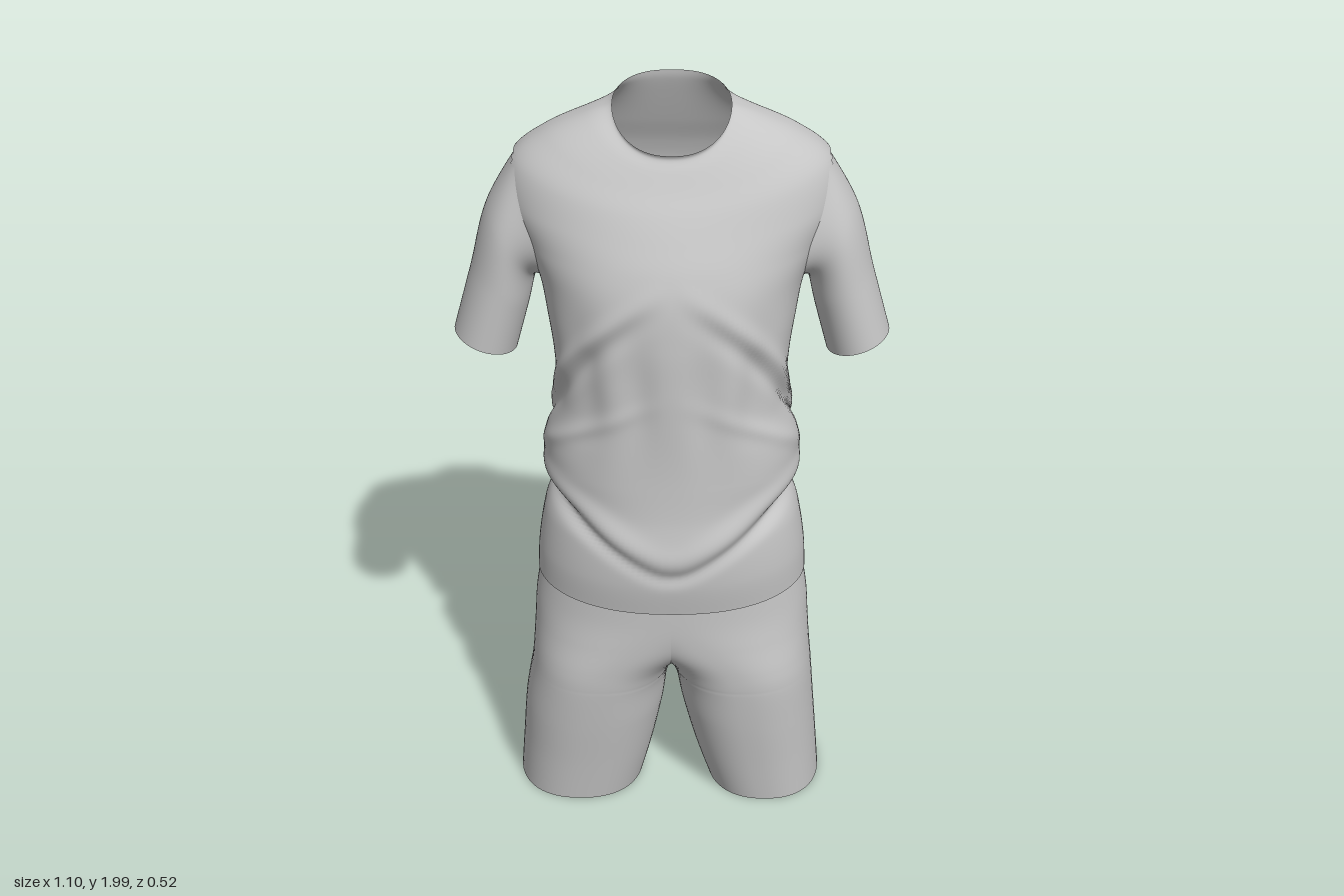
import * as THREE from 'three';

const fabric = new THREE.MeshStandardMaterial({ color: 0xc6c6c6, side: THREE.DoubleSide });
fabric.name = 'grey fabric';

// Smooth interpolation through rows of numbers, t from 0 to 1
function sample(rows, t) {
  const f = t * (rows.length - 1);
  const i = Math.min(Math.floor(f), rows.length - 2);
  const u = f - i;
  const at = (k) => rows[Math.max(0, Math.min(rows.length - 1, k))];
  return at(i).map((p1, k) => {
    const p0 = at(i - 1)[k], p2 = at(i + 1)[k], p3 = at(i + 2)[k];
    return p1 + 0.5 * u * (p2 - p0 + u * (2 * p0 - 5 * p1 + 4 * p2 - p3 + u * (3 * (p1 - p2) + p3 - p0)));
  });
}

// Skin over rings; point(t, v) gives [x, y, z]. side = -1 mirrors in x, hole(t, v) leaves cells out.
function loft(name, point, rows, segs, { closed = true, side = 1, hole = () => false } = {}) {
  const pos = [], index = [];
  const cols = closed ? segs : segs + 1;
  for (let r = 0; r <= rows; r++) {
    for (let c = 0; c < cols; c++) {
      const [x, y, z] = point(r / rows, c / segs);
      pos.push(x * side, y, z);
    }
  }
  for (let r = 0; r < rows; r++) {
    for (let c = 0; c < segs; c++) {
      if (hole((r + 0.5) / rows, (c + 0.5) / segs)) continue;
      const a = r * cols + c, b = r * cols + ((c + 1) % cols);
      const d = a + cols, e = b + cols;
      if (side > 0) index.push(a, d, b, b, d, e);
      else index.push(a, b, d, b, e, d);
    }
  }
  const g = new THREE.BufferGeometry();
  g.setAttribute('position', new THREE.Float32BufferAttribute(pos, 3));
  g.setIndex(index);
  g.computeVertexNormals();
  const mesh = new THREE.Mesh(g, fabric);
  mesh.name = name;
  return mesh;
}

const spow = (v, p) => Math.sign(v) * Math.pow(Math.abs(v), p);
const bump = (d, w) => Math.exp(-(d * d) / (w * w));

// Shirt rings, hem to collar: half width, front z, back z, side z, then y at front, side, back
const shirtRows = [
  [0.352, 0.232, -0.23, 0, 0.67, 0.695, 0.695],
  [0.347, 0.247, -0.235, 0, 0.76, 0.78, 0.78],
  [0.33, 0.25, -0.24, 0, 0.86, 0.88, 0.88],
  [0.305, 0.24, -0.225, 0, 0.95, 0.96, 0.95],
  [0.322, 0.236, -0.215, 0, 1.04, 1.04, 1.02],
  [0.318, 0.235, -0.18, 0, 1.12, 1.12, 1.12],
  [0.29, 0.236, -0.19, 0, 1.22, 1.22, 1.22],
  [0.295, 0.238, -0.22, -0.01, 1.33, 1.33, 1.33],
  [0.31, 0.24, -0.24, -0.03, 1.43, 1.43, 1.43],
  [0.33, 0.235, -0.252, -0.05, 1.53, 1.53, 1.53],
  [0.37, 0.215, -0.258, -0.065, 1.61, 1.62, 1.62],
  [0.412, 0.185, -0.256, -0.075, 1.68, 1.72, 1.71],
  [0.392, 0.155, -0.238, -0.075, 1.74, 1.815, 1.78],
  [0.31, 0.125, -0.207, -0.07, 1.79, 1.883, 1.85],
  [0.21, 0.10, -0.178, -0.055, 1.835, 1.933, 1.92],
  [0.158, 0.085, -0.157, -0.04, 1.86, 1.953, 1.975],
  [0.143, 0.088, -0.152, -0.03, 1.873, 1.96, 2.0],
];

// Cloth folds: the bloused overhang round the waist and creases running down to the back
function folds(s, c, y) {
  const front = Math.max(s, 0), back = Math.max(-s, 0);
  const b = Math.asin(Math.max(-1, Math.min(1, s)));
  const sideFade = Math.min(1, Math.abs(c) * 1.6);
  const dip = s > 0 ? 0.19 * Math.max(0, 1.02 - Math.hypot(c, 0.1)) ** 1.3 : 0.05 * back ** 3;
  const over = y - (0.967 - dip);
  let d = (1 - 0.45 * front ** 4) * (0.014 * bump(over - 0.04, 0.035) - 0.016 * bump(over + 0.01, 0.022));
  const diag = y - (1.214 + 0.238 * b);
  d += sideFade * (0.012 * bump(diag, 0.03) - 0.011 * bump(diag + 0.05, 0.032));
  d += sideFade * 0.006 * bump(y - (1.07 + 0.14 * b), 0.025);
  // Sagging folds over the small of the back
  const sag = y - (1.1 - 0.08 * back ** 4);
  d += back * (0.012 * bump(sag, 0.022) - 0.008 * bump(sag - 0.05, 0.03));
  // Soft drapes below the chest
  d += front * 0.006 * Math.cos(c * 14) * bump(y - 1.3, 0.16);
  return d;
}

function shirtPoint(t, v) {
  const [hw, zf, zb, zc, yF, yS, yB] = sample(shirtRows, t);
  const a = v * Math.PI * 2, c = Math.cos(a), s = Math.sin(a);
  // Pointed chest and flat back at the shoulders; the collar slopes straight from front to back
  const shoulder = bump(t - 0.7, 0.11);
  const p = 2 / (s > 0 ? 2.3 - 0.4 * shoulder : 2.5 + 0.4 * shoulder);
  const slope = 2 - 0.9 * THREE.MathUtils.smoothstep(t, 0.82, 1);
  const y = yS + ((s > 0 ? yF : yB) - yS) * Math.pow(Math.abs(s), slope);
  const d = folds(s, c, y);
  return [hw * spow(c, p) + d * c, y, zc + (s > 0 ? zf - zc : zc - zb) * spow(s, p) + d * s];
}

// Oval armhole on the shirt surface, centred at (t, v) with radii rt, rv
const arm = { t: 0.662, v: -0.0125, rt: 0.11, rv: 0.09 };

function inArmhole(t, v) {
  const across = [v, v - 1, 0.5 - v].map((q) => Math.abs(q - arm.v));
  return Math.hypot((t - arm.t) / arm.rt, Math.min(...across) / arm.rv) < 0.88;
}

// Sleeve rings from the cuff up: outer x, y, inner x, y, back z, front z
const sleeveRows = [
  [0.55, 1.352, 0.392, 1.30, -0.17, 0.038],
  [0.503, 1.52, 0.358, 1.425, -0.186, 0.043],
  [0.457, 1.69, 0.34, 1.50, -0.2, 0.048],
];

function sleevePoint(t, v) {
  const a = v * Math.PI * 2, c = Math.cos(a), s = Math.sin(a), k = (1 + c) / 2;
  const path = sleeveRows.map(([ox, oy, ix, iy, zb, zf]) =>
    [ix + (ox - ix) * k, iy + (oy - iy) * k, (zf + zb) / 2 + ((zf - zb) / 2) * s]);
  path.push(shirtPoint(arm.t + arm.rt * c, arm.v + arm.rv * s));
  return sample(path, t);
}

// Shorts rings, leg hem to waist: y, outer x, inner x, front z, back z.
// A negative inner x means the two legs merge, so the ring is cut at the centre line.
const legRows = (hemIn, hemOut) => [
  [0.006, hemOut, hemIn, 0.15, -0.222],
  [0.13, hemOut - 0.01, hemIn * 0.62, 0.168, -0.219],
  [0.27, hemOut - 0.022, hemIn * 0.28, 0.19, -0.216],
  [0.39, 0.378, 0.003, 0.206, -0.215],
  [0.46, 0.371, -0.05, 0.212, -0.22],
  [0.54, 0.365, -0.2, 0.217, -0.226],
  [0.62, 0.359, -0.33, 0.221, -0.228],
  [0.72, 0.342, -0.342, 0.224, -0.22],
];

function legPoint(rows) {
  return (t, v) => {
    const [y, xo, xi, zf, zb] = sample(rows, t);
    const n = 2.3, cx = Math.max(0, (xo + xi) / 2), hx = xo - cx;
    const end = cx >= hx ? Math.PI : Math.acos(-Math.pow(cx / hx, n / 2));
    const a = (v * 2 - 1) * end;
    const x = cx + hx * spow(Math.cos(a), 2 / n);
    return [Math.max(0, x), y, (zf + zb) / 2 + ((zf - zb) / 2) * spow(Math.sin(a), 2 / n)];
  };
}

export function createModel() {
  const model = new THREE.Group();
  model.name = 'sports outfit';

  const shirt = new THREE.Group();
  shirt.name = 'shirt';
  shirt.add(loft('shirtBody', shirtPoint, 160, 144, { hole: inArmhole }));

  const shorts = new THREE.Group();
  shorts.name = 'shorts';

  for (const side of [1, -1]) {
    const label = side > 0 ? 'left' : 'right';
    shirt.add(loft(label + 'Sleeve', sleevePoint, 40, 64, { side }));
    const rows = side > 0 ? legRows(0.10, 0.41) : legRows(0.08, 0.42);
    shorts.add(loft(label + 'Leg', legPoint(rows), 80, 72, { closed: false, side }));
  }

  model.add(shirt, shorts);
  return model;
}
